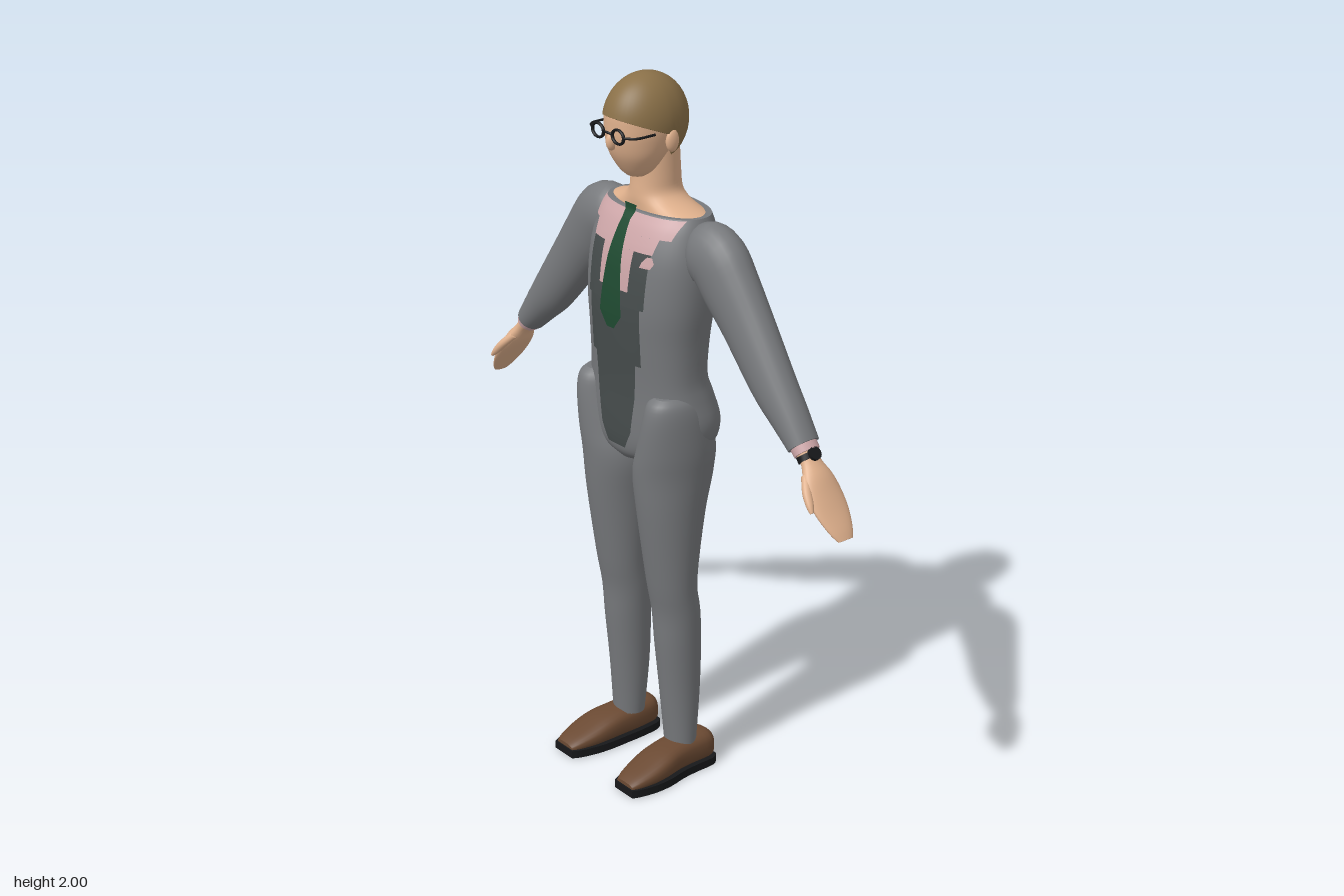
import * as THREE from 'three';

const mat = (name, color, side = THREE.FrontSide) => {
  const m = new THREE.MeshStandardMaterial({ color, side });
  m.name = name;
  return m;
};
const suit = mat('suit grey', 0x77797c);
const vestMat = mat('vest dark grey', 0x464c4c, THREE.DoubleSide);
const shirt = mat('shirt pink', 0xcda6a8, THREE.DoubleSide);
const tieMat = mat('tie green', 0x1f4a31, THREE.DoubleSide);
const skin = mat('skin', 0xdfb08c);
const hairMat = mat('hair', 0x8a7048);
const leather = mat('shoe brown', 0x6a4932);
const black = mat('black', 0x17181a);

const CENTRE = -0.012; // x of the body's middle line

function add(parent, name, geometry, material) {
  const mesh = new THREE.Mesh(geometry, material);
  mesh.name = name;
  parent.add(mesh);
  return mesh;
}

// Skin over equal-sized rings, counter-clockwise about the direction of travel, with end caps
function loft(rings) {
  const n = rings[0].length, pos = [], idx = [];
  rings.forEach(r => r.forEach(p => pos.push(...p)));
  for (let i = 0; i < rings.length - 1; i++)
    for (let j = 0; j < n; j++) {
      const a = i * n + j, b = i * n + (j + 1) % n;
      idx.push(a, b, b + n, a, b + n, a + n);
    }
  [rings[0], rings[rings.length - 1]].forEach((r, end) => {
    const base = pos.length / 3;
    r.forEach(p => pos.push(...p));
    pos.push(...[0, 1, 2].map(k => r.reduce((s, p) => s + p[k], 0) / n));
    for (let j = 0; j < n; j++) {
      const a = base + j, b = base + (j + 1) % n;
      end ? idx.push(a, b, base + n) : idx.push(b, a, base + n);
    }
  });
  const g = new THREE.BufferGeometry();
  g.setAttribute('position', new THREE.Float32BufferAttribute(pos, 3));
  g.setIndex(idx);
  g.computeVertexNormals();
  return g;
}

// Catmull-Rom subdivision of rows of numbers
function smooth(rows, steps = 4) {
  const out = [], last = rows.length - 1;
  for (let i = 0; i < last; i++) {
    const [a, b, c, d] = [Math.max(i - 1, 0), i, i + 1, Math.min(i + 2, last)].map(k => rows[k]);
    for (let s = 0; s < steps; s++) {
      const t = s / steps;
      out.push(b.map((_, k) => 0.5 * (2 * b[k] + (c[k] - a[k]) * t
        + (2 * a[k] - 5 * b[k] + 4 * c[k] - d[k]) * t * t
        + (3 * b[k] - a[k] - 3 * c[k] + d[k]) * t * t * t)));
    }
  }
  out.push(rows[last]);
  return out;
}

const around = (n, f) => Array.from({ length: n }, (_, j) => f(j / n * Math.PI * 2));
const pw = (v, e) => Math.sign(v) * Math.abs(v) ** e;

// Upright body from rows [y, xMid, halfWidth, zFront, zBack], bottom to top
const upright = (rows, e = 1, n = 40) => loft(rows.map(([y, cx, hw, zf, zb]) =>
  around(n, t => [cx + hw * pw(Math.sin(t), e), y, (zf + zb) / 2 + (zf - zb) / 2 * pw(Math.cos(t), e)])));

// Limb from rows [x, y, z, radius in the xy plane, radius along z], mirrored by side
function limb(rows, side, n = 24) {
  return loft(rows.map((r, i) => {
    const p = rows[Math.max(i - 1, 0)], q = rows[Math.min(i + 1, rows.length - 1)];
    const wx = side * (q[0] - p[0]), wy = q[1] - p[1], l = Math.hypot(wx, wy);
    return around(n, t => [side * r[0] - wy / l * r[3] * Math.cos(t),
      r[1] + wx / l * r[3] * Math.cos(t), r[2] + r[4] * Math.sin(t)]);
  }));
}

const TORSO_E = 0.88;
const torsoRows = smooth([
  [0.945, 0, 0.05, 0.06, -0.09], [0.97, 0, 0.14, 0.08, -0.14], [1.01, 0, 0.198, 0.088, -0.167],
  [1.07, 0, 0.213, 0.09, -0.174], [1.14, 0, 0.2, 0.09, -0.155], [1.2, 0, 0.19, 0.092, -0.137],
  [1.3, 0, 0.192, 0.098, -0.145], [1.4, 0, 0.202, 0.1, -0.157], [1.52, 0, 0.204, 0.085, -0.166],
  [1.6, 0, 0.19, 0.056, -0.16], [1.64, 0, 0.174, 0.03, -0.148]]);

// Front surface of the torso at x, y
function frontZ(x, y) {
  let i = 0;
  while (i < torsoRows.length - 2 && torsoRows[i + 1][0] < y) i++;
  const a = torsoRows[i], b = torsoRows[i + 1];
  const t = THREE.MathUtils.clamp((y - a[0]) / (b[0] - a[0]), 0, 1);
  const [, , hw, zf, zb] = a.map((v, k) => v + (b[k] - v) * t);
  const c = Math.max(0, 1 - Math.min(1, Math.abs(x) / hw) ** (2 / TORSO_E));
  return (zf + zb) / 2 + (zf - zb) / 2 * c ** (TORSO_E / 2);
}

// Thin cloth panel laid on the chest; edges are [y, xLeft, xRight] from top to bottom
function panel(edges, lift) {
  const pos = [], idx = [], C = 24, R = 6;
  for (let e = 0; e < edges.length - 1; e++) {
    const [p, q] = [edges[e], edges[e + 1]], base = pos.length / 3;
    if (p[0] === q[0]) continue;
    for (let r = 0; r <= R; r++)
      for (let c = 0; c <= C; c++) {
        const [y, x0, x1] = p.map((v, k) => v + (q[k] - v) * r / R);
        const x = x0 + (x1 - x0) * c / C;
        pos.push(x, y, frontZ(x, y) + lift);
        if (r < R && c < C) {
          const a = base + r * (C + 1) + c, b = a + C + 1;
          idx.push(a, b, b + 1, a, b + 1, a + 1);
        }
      }
  }
  const g = new THREE.BufferGeometry();
  g.setAttribute('position', new THREE.Float32BufferAttribute(pos, 3));
  g.setIndex(idx);
  g.computeVertexNormals();
  return g;
}
const even = rows => rows.map(([y, w]) => [y, -w, w]);

function rod(parent, name, points, r, material) {
  const curve = new THREE.CatmullRomCurve3(points.map(p => new THREE.Vector3(...p)));
  return add(parent, name, new THREE.TubeGeometry(curve, 8, r, 8), material);
}

function ball(parent, name, [x, y, z], [sx, sy, sz], material) {
  const m = add(parent, name, new THREE.SphereGeometry(1, 20, 14), material);
  m.position.set(x, y, z);
  m.scale.set(sx, sy, sz);
}

function buildHead(body) {
  const head = new THREE.Group();
  head.name = 'head';
  body.add(head);
  add(head, 'neck', upright(smooth([[1.641, 0, 0.163, 0.024, -0.135], [1.652, 0, 0.125, 0.025, -0.128],
    [1.668, 0, 0.088, 0.026, -0.121], [1.69, 0, 0.067, 0.025, -0.116], [1.73, 0, 0.064, 0.022, -0.112],
    [1.81, 0, 0.064, 0.02, -0.106]])), skin);
  add(head, 'face', upright(smooth([[1.733, 0, 0.028, 0.045, 0], [1.75, 0, 0.049, 0.063, -0.03],
    [1.79, 0, 0.074, 0.088, -0.06], [1.83, 0, 0.087, 0.1, -0.09], [1.87, 0, 0.092, 0.103, -0.1],
    [1.92, 0, 0.088, 0.096, -0.1], [1.96, 0, 0.05, 0.05, -0.07]])), skin);
  ball(head, 'nose', [0, 1.835, 0.1], [0.013, 0.024, 0.017], skin);
  // Hair cap: a dome whose lower edge is high at the brow and low at the nape
  const hairline = t => {
    const f = Math.sin(t);
    const y = f > 0 ? 1.855 + 0.045 * f : 1.855 - 0.075 * THREE.MathUtils.smoothstep(-f, 0.05, 0.45);
    return Math.acos((y - 1.875) / 0.125);
  };
  add(head, 'hair', loft(Array.from({ length: 17 }, (_, k) => around(48, t => {
    const p = hairline(t) * Math.max(k / 16, 0.01);
    return [0.097 * Math.sin(p) * Math.cos(t), 1.875 + 0.125 * Math.cos(p), -0.011 + 0.121 * Math.sin(p) * Math.sin(t)];
  }))), hairMat);
  // Glasses
  for (const s of [1, -1]) {
    ball(head, 'ear', [s * 0.092, 1.835, -0.024], [0.012, 0.03, 0.02], skin);
    const rim = add(head, 'glassesRim', new THREE.TorusGeometry(0.023, 0.0045, 8, 24), black);
    rim.position.set(s * 0.041, 1.858, 0.112);
    rim.scale.y = 0.8;
    rod(head, 'glassesTemple', [[s * 0.064, 1.86, 0.112], [s * 0.09, 1.861, 0.095], [s * 0.095, 1.862, 0.035]], 0.0035, black);
  }
  rod(head, 'glassesBridge', [[-0.019, 1.86, 0.113], [0, 1.863, 0.118], [0.019, 1.86, 0.113]], 0.0035, black);
}

function buildLeg(body, s) {
  // rows [y, outer x, inner x, zFront, zBack]
  const rows = [[0.085, 0.165, 0.066, 0, -0.085], [0.25, 0.168, 0.055, 0.015, -0.1], [0.4, 0.175, 0.046, 0.03, -0.102],
    [0.5, 0.18, 0.04, 0.037, -0.095], [0.6, 0.185, 0.035, 0.055, -0.081], [0.8, 0.2, 0.02, 0.085, -0.105],
    [0.92, 0.21, 0.008, 0.097, -0.132], [1.0, 0.216, 0.035, 0.101, -0.13], [1.09, 0.212, 0.07, 0.1, -0.1],
    [1.14, 0.2, 0.09, 0.091, -0.06], [1.16, 0.18, 0.11, 0.07, -0.02]];
  add(body, 'trouserLeg', upright(smooth(rows.map(([y, o, i, f, b]) => [y, s * (o + i) / 2, (o - i) / 2, f, b])), 1, 32), suit);
  // Shoe rows [z, xMid, halfWidth, top]
  const shoe = smooth([[-0.132, 0.126, 0.034, 0.088], [-0.11, 0.126, 0.048, 0.101], [-0.05, 0.124, 0.051, 0.1],
    [0, 0.126, 0.053, 0.096], [0.05, 0.131, 0.058, 0.086], [0.1, 0.134, 0.056, 0.068], [0.15, 0.136, 0.045, 0.048],
    [0.174, 0.137, 0.034, 0.034]], 3);
  add(body, 'shoe', loft(shoe.map(([z, x, w, top]) => around(24, t =>
    [s * x + w * pw(Math.cos(t), 0.75), (top + 0.012) / 2 + (top - 0.012) / 2 * pw(Math.sin(t), 0.75), z]))), leather);
  const edge = k => shoe.map(([z, x, w]) => new THREE.Vector2(s * x + k * (w + 0.005), -z * 1.025));
  const sole = new THREE.ExtrudeGeometry(new THREE.Shape([...edge(1), ...edge(-1).reverse()]), { depth: 0.023, bevelEnabled: false });
  add(body, 'shoeSole', sole.rotateX(-Math.PI / 2), black);
}

function buildArm(parent, s) {
  const arm = new THREE.Group();
  arm.name = s > 0 ? 'leftArm' : 'rightArm';
  parent.add(arm);
  add(arm, 'sleeve', limb(smooth([[0.168, 1.555, -0.052, 0.07, 0.056], [0.19, 1.555, -0.052, 0.088, 0.067],
    [0.235, 1.545, -0.052, 0.093, 0.069], [0.285, 1.487, -0.052, 0.09, 0.066], [0.35, 1.41, -0.052, 0.08, 0.061],
    [0.455, 1.28, -0.05, 0.067, 0.055], [0.52, 1.21, -0.05, 0.053, 0.05], [0.574, 1.15, -0.05, 0.039, 0.045]]), s), suit);
  add(arm, 'shirtCuff', limb([[0.568, 1.157, -0.05, 0.033, 0.039], [0.588, 1.135, -0.05, 0.032, 0.037]], s), shirt);
  add(arm, 'hand', limb(smooth([[0.58, 1.144, -0.049, 0.025, 0.03], [0.606, 1.114, -0.048, 0.02, 0.03],
    [0.632, 1.08, -0.048, 0.023, 0.047], [0.66, 1.042, -0.048, 0.019, 0.055], [0.69, 1.003, -0.05, 0.014, 0.052],
    [0.72, 0.965, -0.052, 0.01, 0.038], [0.736, 0.944, -0.053, 0.006, 0.024]]), s), skin);
  add(arm, 'thumb', limb(smooth([[0.618, 1.092, -0.02, 0.012, 0.014], [0.645, 1.062, 0, 0.012, 0.014],
    [0.668, 1.035, 0.01, 0.01, 0.011], [0.682, 1.018, 0.015, 0.005, 0.005]]), s, 14), skin);
  // Wristwatch on the left arm only
  if (s > 0) {
    add(arm, 'watchStrap', limb([[0.591, 1.132, -0.049, 0.027, 0.034], [0.601, 1.12, -0.049, 0.026, 0.034]], s), black);
    const dial = add(arm, 'watchDial', new THREE.CylinderGeometry(0.018, 0.018, 0.01, 20), black);
    dial.position.set(0.617, 1.142, -0.049);
    dial.rotation.z = -0.86;
  }
}

export function createModel() {
  const model = new THREE.Group();
  model.name = 'manInSuit';
  const body = new THREE.Group();
  body.name = 'body';
  body.position.x = CENTRE;
  model.add(body);

  add(body, 'jacket', upright(torsoRows, TORSO_E, 64), suit);
  add(body, 'shirtFront', panel(even([[1.638, 0.163], [1.59, 0.153], [1.59, 0.125], [1.55, 0.118],
    [1.55, 0.06], [1.44, 0.058]]), 0.004), shirt);
  // Vest: two strips beside the shirt, then one tapering front
  for (const s of [1, -1])
    add(body, 'vestSide', panel([[1.55, ...[s * 0.06, s * 0.115].sort((a, b) => a - b)],
      [1.44, ...[s * 0.058, s * 0.113].sort((a, b) => a - b)]], 0.004), vestMat);
  add(body, 'vestFront', panel(even([[1.44, 0.113], [1.4, 0.112], [1.4, 0.1], [1.24, 0.1], [1.24, 0.082],
    [1.14, 0.075], [1.04, 0.06], [0.99, 0.035]]), 0.004), vestMat);
  add(body, 'tie', panel(even([[1.657, 0.024], [1.62, 0.016], [1.5, 0.03], [1.37, 0.044], [1.33, 0.014]]), 0.009), tieMat);
  add(body, 'pocketSquare', panel([[1.545, 0.108, 0.122], [1.53, 0.095, 0.13], [1.515, 0.09, 0.122]], 0.007), shirt);

  buildHead(body);
  for (const s of [1, -1]) {
    buildLeg(body, s);
    buildArm(model, s);
  }
  return model;
}
